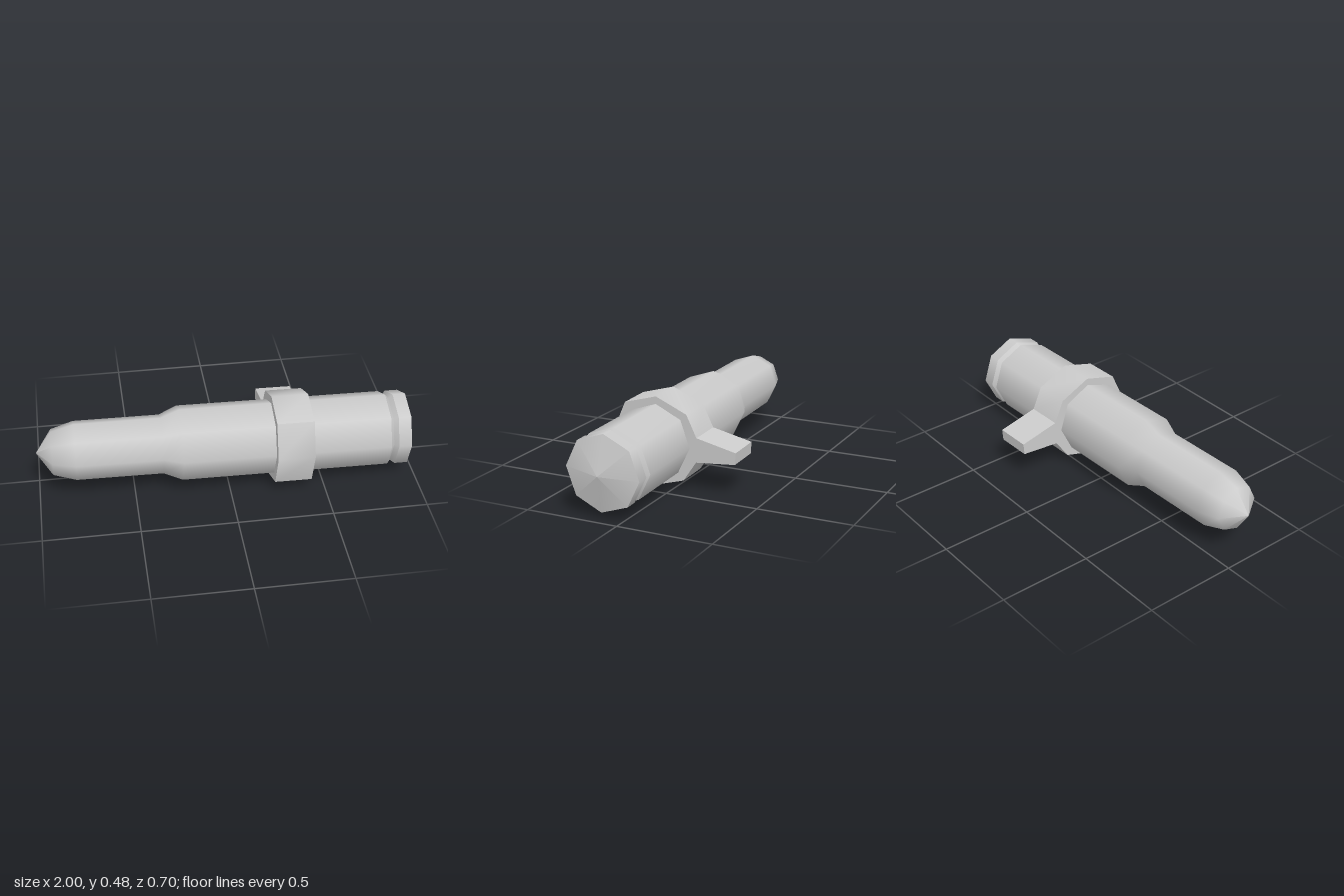
import * as THREE from 'three';
import { toCreasedNormals } from 'three/addons/utils/BufferGeometryUtils.js';

const material = new THREE.MeshStandardMaterial({ color: 0xcccccc });

// Eight-sided turned piece along x, from [x, radius] pairs
function turned(name, profile) {
  const points = profile.map(([x, r]) => new THREE.Vector2(r, x));
  const geometry = new THREE.LatheGeometry(points, 8);
  geometry.rotateZ(-Math.PI / 2);
  geometry.rotateX(-0.061);
  const mesh = new THREE.Mesh(geometry, material);
  mesh.name = name;
  return mesh;
}

export function createModel() {
  const group = new THREE.Group();
  group.name = 'pin';

  // Rounded nose, narrow neck, shoulder and main barrel
  group.add(turned('shaft', [
    [-1, 0], [-0.918, 0.122], [-0.8, 0.157], [-0.35, 0.158], [-0.253, 0.2], [0.842, 0.2],
  ]));

  // V-shaped groove, rear collar and shallow conical end
  group.add(turned('grooveFront', [[0.842, 0.2], [0.86, 0.178]]));
  group.add(turned('grooveRear', [[0.86, 0.178], [0.882, 0.2]]));
  group.add(turned('collar', [[0.882, 0.2], [0.95, 0.2]]));
  group.add(turned('endCap', [[0.95, 0.2], [1, 0]]));

  // Octagonal band with a tapering lug at the back, outlined as [z, y]
  const outline = [
    [0.093, 0.483], [0.272, 0.432], [0.348, 0.26], [0.295, 0.078], [0.122, 0.003],
    [-0.056, 0.055], [-0.128, 0.162], [-0.343, 0.181], [-0.347, 0.243],
    [-0.132, 0.292], [-0.077, 0.408],
  ].map(([z, y]) => new THREE.Vector2(0.1065 - z, y - 0.2435));
  const bandGeometry = new THREE.ExtrudeGeometry(new THREE.Shape(outline), {
    depth: 0.195, bevelEnabled: false,
  });
  bandGeometry.rotateY(Math.PI / 2);
  bandGeometry.translate(0.23, 0, 0);
  const band = new THREE.Mesh(toCreasedNormals(bandGeometry, 0.85), material);
  band.name = 'bandWithLug';
  group.add(band);

  // The whole pin leans very slightly
  group.position.set(0, 0.2495, 0.108);
  group.rotation.set(0, 0.0065, -0.0187);

  const model = new THREE.Group();
  model.name = 'model';
  model.add(group);
  return model;
}
